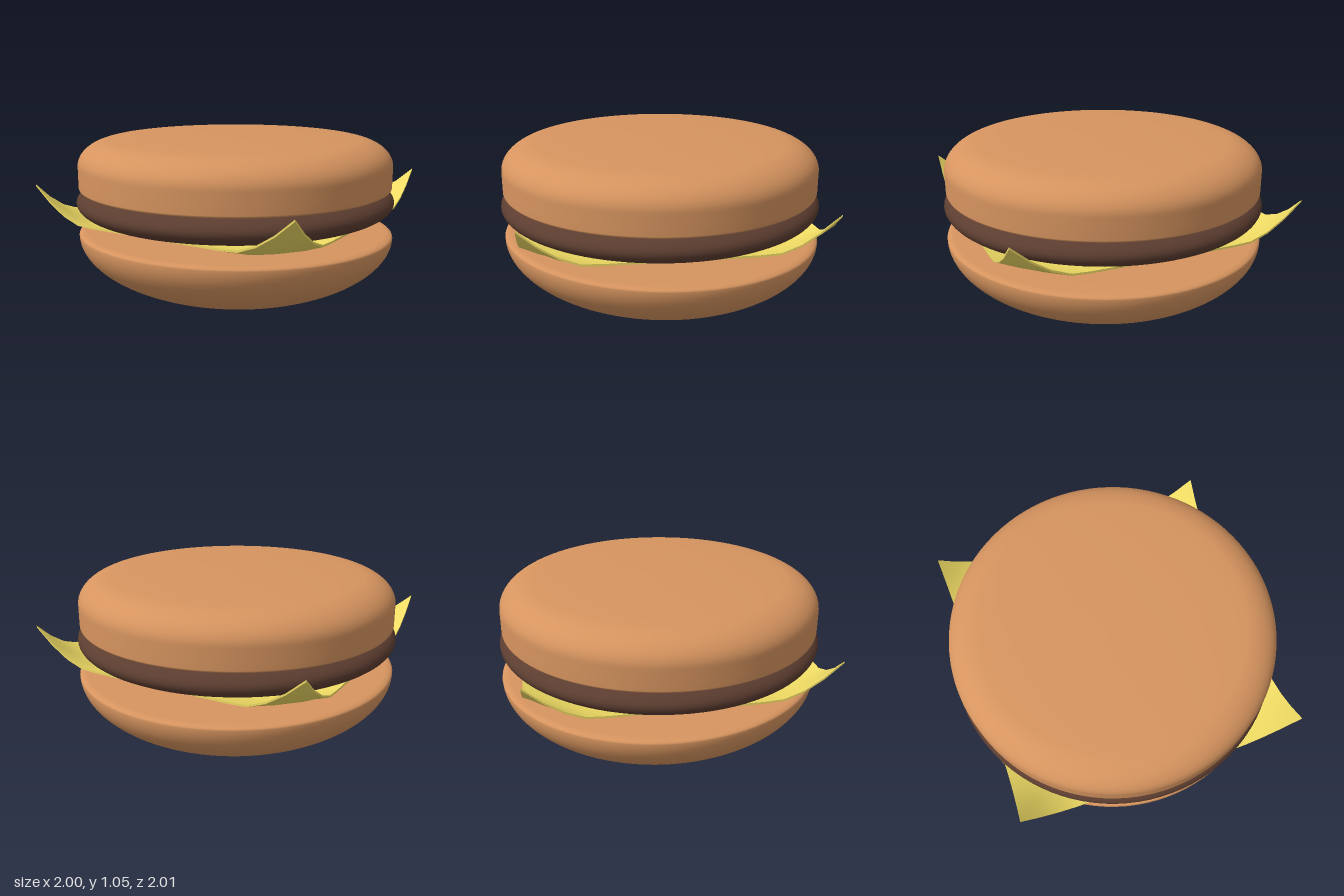
import * as THREE from 'three';

const BUN = 0xd6945f, PATTY = 0x5c3d30, CHEESE = 0xf0dc64;

function addMesh(group, name, geometry, color) {
  const mesh = new THREE.Mesh(geometry, new THREE.MeshStandardMaterial({ color }));
  mesh.name = name;
  group.add(mesh);
  return mesh;
}

// Profile runs from the bottom centre, round the outside, to the top centre
const turned = (points) =>
  new THREE.LatheGeometry(points.map(([r, y]) => new THREE.Vector2(r, y)), 96);

// Points along an elliptical arc, angles in degrees
function arc(cx, cy, rx, ry, from, to, steps) {
  return Array.from({ length: steps + 1 }, (_, i) => {
    const a = THREE.MathUtils.degToRad(from + ((to - from) * i) / steps);
    return [Math.max(0, cx + rx * Math.cos(a)), cy + ry * Math.sin(a)];
  });
}

// Thin square slice whose margins curl up, most of all at the corners
function sliceGeometry() {
  const half = 0.872, flat = 0.5;
  const geometry = new THREE.BoxGeometry(half * 2, 0.012, half * 2, 16, 1, 16);
  const pos = geometry.attributes.position;
  const curl = (v) => Math.pow(Math.max(0, (Math.abs(v) - flat) / (half - flat)), 1.7);
  for (let i = 0; i < pos.count; i++) {
    const a = curl(pos.getX(i)), b = curl(pos.getZ(i));
    pos.setY(i, pos.getY(i) + 0.08 * (a + b) + 0.13 * a * b);
  }
  geometry.computeVertexNormals();
  return geometry;
}

export function createModel() {
  const burger = new THREE.Group();
  burger.name = 'burger';

  // Bottom bun: half ellipsoid bowl with a softly rounded rim, tipped up at the front
  const bottomBun = addMesh(burger, 'bottomBun', turned([
    ...arc(0, 0.435, 0.997, 0.432, -90, 0, 28),
    ...arc(0.95, 0.435, 0.047, 0.02, 20, 90, 5),
    [0.8, 0.456], [0, 0.456],
  ]), BUN);
  bottomBun.rotation.x = -0.02;

  // Cheese slice resting on the bottom bun
  const cheese = addMesh(burger, 'cheeseSlice', sliceGeometry(), CHEESE);
  cheese.position.y = 0.486;

  // Patty: thick disc with a bulging edge
  addMesh(burger, 'patty', turned([
    [0, 0.555], [0.7, 0.555],
    ...arc(0.8, 0.65, 0.2, 0.095, -90, 90, 20),
    [0.7, 0.745], [0, 0.745],
  ]), PATTY);

  // Top bun: straight sides under a shallow rounded crown
  addMesh(burger, 'topBun', turned([
    [0, 0.73], [0.9, 0.73], [0.955, 0.731],
    ...arc(0.965, 0.745, 0.018, 0.014, -90, 0, 4),
    [0.983, 0.8], [0.983, 0.86],
    ...arc(0.75, 0.875, 0.233, 0.155, 0, 80, 16),
    [0.7, 1.035], [0.5, 1.044], [0.25, 1.049], [0, 1.05],
  ]), BUN);

  return burger;
}
